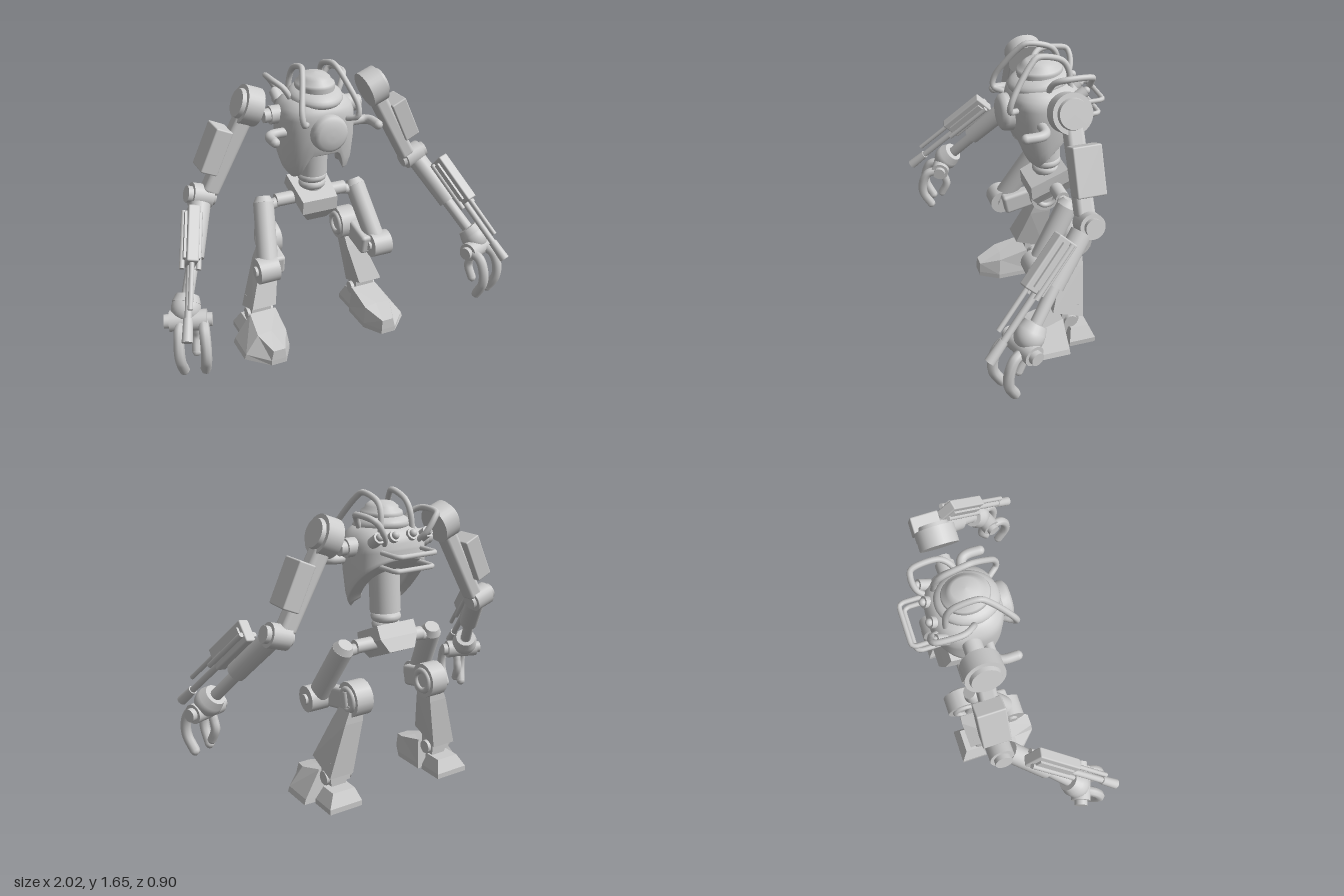
import * as THREE from 'three';
import { RoundedBoxGeometry } from 'three/addons/geometries/RoundedBoxGeometry.js';

const V = (p) => new THREE.Vector3(...p);
const smooth = new THREE.MeshStandardMaterial({ color: 0xcccccc });
const faceted = new THREE.MeshStandardMaterial({ color: 0xcccccc, flatShading: true });

function add(parent, name, geo, pos = [0, 0, 0], rot = [0, 0, 0], mat = smooth) {
  const m = new THREE.Mesh(geo, mat);
  m.name = name;
  m.position.set(...pos);
  m.rotation.set(...rot);
  parent.add(m);
  return m;
}

// Cylinder running from p to q
function rod(parent, name, p, q, r0, r1 = r0, sides = 24) {
  const a = V(p), b = V(q), d = b.clone().sub(a);
  const m = add(parent, name, new THREE.CylinderGeometry(r1, r0, d.length(), sides));
  m.position.copy(a).add(b).multiplyScalar(0.5);
  m.quaternion.setFromUnitVectors(new THREE.Vector3(0, 1, 0), d.normalize());
}

function pipe(parent, name, pts, r, sides = 10, tension = 0.5) {
  const curve = new THREE.CatmullRomCurve3(pts.map(V), false, 'catmullrom', tension);
  add(parent, name, new THREE.TubeGeometry(curve, 40, r, sides));
  const ends = [pts[0], pts[pts.length - 1]];
  for (const e of ends) add(parent, name + 'End', new THREE.SphereGeometry(r, sides, 6), e);
}

// Skin over matching loops (counterclockwise from above, listed upwards), capped at both ends
function loft(loops) {
  const n = loops[0].length, pos = loops.flat(2), idx = [];
  for (let k = 0; k < loops.length - 1; k++) {
    for (let i = 0; i < n; i++) {
      const a = k * n + i, b = k * n + (i + 1) % n;
      idx.push(a, b, b + n, a, b + n, a + n);
    }
  }
  [loops[0], loops[loops.length - 1]].forEach((loop, end) => {
    const c = pos.length / 3, base = end ? (loops.length - 1) * n : 0;
    const mid = [0, 1, 2].map((j) => loop.reduce((s, p) => s + p[j], 0) / n);
    pos.push(...mid);
    for (let i = 0; i < n; i++) {
      const a = base + i, b = base + (i + 1) % n;
      if (end) idx.push(c, a, b); else idx.push(c, b, a);
    }
  });
  const g = new THREE.BufferGeometry();
  g.setAttribute('position', new THREE.Float32BufferAttribute(pos, 3));
  g.setIndex(idx);
  g.computeVertexNormals();
  return g;
}

// Rectangle loop for loft: x range, z range, heights at front and back
const rect = (x0, x1, z0, z1, yf, yb = yf) => [[x0, yb, z0], [x0, yf, z1], [x1, yf, z1], [x1, yb, z0]];

// Torso shell: rounded sections, underside slanting up to the back, front arch leading into a hollow
function torsoGeometry() {
  // y, half width, front z, back z
  const prof = [[1.03, 0.19, -0.03, -0.32], [1.1, 0.208, 0, -0.33], [1.25, 0.212, 0.035, -0.335],
    [1.38, 0.21, 0.045, -0.335], [1.43, 0.192, 0.035, -0.325], [1.465, 0.155, 0, -0.29], [1.49, 0.1, -0.03, -0.24]];
  const at = (a, y, s = 1) => {
    let k = 0;
    while (k < prof.length - 2 && y > prof[k + 1][0]) k++;
    const t = THREE.MathUtils.clamp((y - prof[k][0]) / (prof[k + 1][0] - prof[k][0]), 0, 1);
    const [, w, zf, zb] = prof[k].map((v, j) => v + (prof[k + 1][j] - v) * t);
    const c = Math.cos(a), d = -Math.sin(a), pw = (v) => Math.sign(v) * Math.abs(v) ** 0.8;
    return [w * pw(c) * s, y, (zf + zb) / 2 + (zf - zb) / 2 * pw(d) * s];
  };
  const edge = (a, s = 1) => {
    const [x, , z] = at(a, 1.1, s);
    const slope = z < -0.06 ? (-0.06 - z) * 1.05 : (z + 0.06) * 0.4;
    const arch = z > -0.1 ? 1 - THREE.MathUtils.smoothstep(Math.abs(x), 0.07, 0.15) : 0;
    return Math.max(1.04 + slope, 1.04 + 0.135 * arch);
  };
  const N = 72, angles = Array.from({ length: N }, (_, i) => i / N * Math.PI * 2);
  const loops = [
    angles.map((a) => at(a, 1.36, 0.55)),
    angles.map((a) => at(a, edge(a, 0.6) + 0.02, 0.6)),
    angles.map((a) => at(a, edge(a, 0.63), 0.63)),
    angles.map((a) => at(a, edge(a, 0.97), 0.97)),
  ];
  for (const t of [0.03, 0.2, 0.4, 0.6, 0.8, 1]) loops.push(angles.map((a) => at(a, edge(a) + (1.38 - edge(a)) * t)));
  for (const y of [1.405, 1.43, 1.45, 1.465, 1.49]) loops.push(angles.map((a) => at(a, y)));
  return loft(loops);
}

function buildBody(g) {
  add(g, 'torso', torsoGeometry());
  const collar = add(g, 'neckCollar', new THREE.SphereGeometry(1, 32, 16), [0, 1.472, -0.125], [0.12, 0, 0]);
  collar.scale.set(0.145, 0.062, 0.165);
  const dome = [[0.1, 0], [0.107, 0.05], [0.102, 0.065], [0.085, 0.075], [0.082, 0.09], [0.06, 0.108], [0, 0.115]];
  const head = add(g, 'head', new THREE.LatheGeometry(dome.map((p) => new THREE.Vector2(...p)), 32), [0, 1.48, -0.13]);
  head.scale.z = 1.15;
  const lens = [[0.1, -0.03], [0.1, 0.03], [0.094, 0.052], [0.075, 0.066], [0.035, 0.072], [0, 0.073]];
  add(g, 'chestLens', new THREE.LatheGeometry(lens.map((p) => new THREE.Vector2(...p)), 32), [0, 1.312, 0.028], [Math.PI / 2, 0, 0]);
  // Back handles and knobs
  for (const [y, z] of [[1.365, -0.447], [1.29, -0.428]]) {
    pipe(g, 'backHandle', [[-0.12, y, -0.28], [-0.12, y, z + 0.03], [-0.11, y, z + 0.005], [-0.09, y, z],
      [0.09, y, z], [0.11, y, z + 0.005], [0.12, y, z + 0.03], [0.12, y, -0.28]], 0.013, 10, 0.2);
  }
  for (const x of [-0.15, -0.055, 0.055, 0.15]) {
    rod(g, 'backKnob', [x, 1.41, -0.27], [x, 1.448, -0.33], 0.03);
    add(g, 'knobTip', new THREE.SphereGeometry(0.02, 16, 10), [x, 1.45, -0.333]);
  }
  // Spine and pelvis
  rod(g, 'spine', [0, 1.01, -0.17], [0, 1.3, -0.15], 0.083);
  for (const [y, r] of [[0.985, 0.055], [0.94, 0.05]]) {
    add(g, 'spineRing', new THREE.TorusGeometry(r, 0.027, 12, 28), [0, y, -0.175], [Math.PI / 2, 0, 0]);
  }
  rod(g, 'spineCore', [0, 0.88, -0.18], [0, 1.02, -0.17], 0.06);
  add(g, 'pelvis', loft([
    [[-0.08, -0.075, -0.13], [-0.06, -0.075, 0.11], [0.06, -0.075, 0.11], [0.08, -0.075, -0.13]],
    [[-0.118, 0, -0.13], [-0.105, 0, 0.125], [0.105, 0, 0.125], [0.118, 0, -0.13]],
    [[-0.118, 0.075, -0.125], [-0.105, 0.075, 0.1], [0.105, 0.075, 0.1], [0.118, 0.075, -0.125]],
  ]), [0, 0.85, -0.18], [0.42, 0, 0], faceted);
}

function buildArm(g) {
  // Socket on the torso and free-standing shoulder drum, its axis tilted outward and up
  const sh = [0.372, 1.455, -0.165], ax = [0.93, 0.37, 0];
  const on = (t) => sh.map((v, i) => v + ax[i] * t);
  rod(g, 'shoulderSocket', [0.15, 1.38, -0.165], [0.25, 1.38, -0.165], 0.05);
  rod(g, 'shoulderSocketCap', [0.245, 1.38, -0.165], [0.285, 1.38, -0.165], 0.038);
  rod(g, 'shoulderDrum', on(-0.055), on(0.04), 0.103, 0.103, 32);
  rod(g, 'shoulderCap', on(0.04), on(0.062), 0.08, 0.075, 32);
  // Upper arm with its outer armour block
  add(g, 'upperArm', new RoundedBoxGeometry(0.09, 0.46, 0.095, 3, 0.025), [0.5, 1.2, -0.17], [0, 0, 0.5]);
  add(g, 'armBlock', new RoundedBoxGeometry(0.095, 0.25, 0.15, 2, 0.008), [0.565, 1.24, -0.185], [0, 0, 0.43]);
  rod(g, 'elbow', [0.6, 0.97, -0.175], [0.705, 1.005, -0.175], 0.065);
  rod(g, 'elbowCap', [0.58, 0.965, -0.175], [0.73, 1.013, -0.175], 0.045);
  // Forearm
  rod(g, 'forearmSleeve', [0.67, 0.96, -0.13], [0.78, 0.755, 0.05], 0.055);
  rod(g, 'forearmRod', [0.75, 0.8, 0], [0.87, 0.58, 0.18], 0.032);
  // Arm gun in its own frame, y along the barrel, z towards the underside
  const gun = new THREE.Group();
  gun.name = 'armGun';
  const d = V([0.21, -0.48, 0.48]).normalize();
  const x = V([1, 0, 0]).addScaledVector(d, -d.x).normalize();
  gun.quaternion.setFromRotationMatrix(new THREE.Matrix4().makeBasis(x, d, x.clone().cross(d)));
  gun.position.set(0.785, 0.895, 0.075);
  g.add(gun);
  add(gun, 'gunBody', new RoundedBoxGeometry(0.06, 0.3, 0.125, 2, 0.008));
  add(gun, 'gunRail', new THREE.BoxGeometry(0.085, 0.25, 0.06));
  rod(gun, 'gunBarrel', [0, 0.1, 0.03], [0, 0.46, 0.03], 0.018, 0.018, 16);
  rod(gun, 'gunMuzzle', [0, 0.42, 0.03], [0, 0.54, 0.03], 0.024, 0.028, 16);
  rod(gun, 'gunSight', [0, 0.1, -0.03], [0, 0.39, -0.03], 0.013, 0.013, 12);
  for (const s of [-0.042, 0.042]) rod(gun, 'gunSideTube', [s, -0.14, 0.02], [s, 0.17, 0.02], 0.014, 0.014, 12);
  // Wrist
  add(g, 'wristBall', new THREE.SphereGeometry(0.077, 28, 18), [0.88, 0.56, 0.2]);
  rod(g, 'wristCuff', [0.855, 0.61, 0.16], [0.872, 0.58, 0.185], 0.06, 0.075);
  // Claw, turned outward about the wrist
  const claw = new THREE.Group();
  claw.name = 'claw';
  claw.position.set(0.882, 0.51, 0.235);
  claw.rotation.y = 0.35;
  g.add(claw);
  rod(claw, 'clawAxle', [-0.122, 0, 0], [0.122, 0, 0], 0.036);
  rod(claw, 'clawHub', [-0.095, 0, 0], [0.095, 0, 0], 0.054);
  for (const [fx, s] of [[0.035, 1], [-0.075, -1]]) {
    pipe(claw, 'finger', [[fx, 0, 0.015], [fx + 0.008 * s, -0.02, 0.08], [fx + 0.012 * s, -0.09, 0.115],
      [fx + 0.01 * s, -0.17, 0.115], [fx, -0.255, 0.072]], 0.028, 8);
  }
  pipe(claw, 'thumb', [[-0.03, -0.01, 0], [-0.03, -0.07, -0.02], [-0.03, -0.125, -0.03], [-0.03, -0.195, 0.002]], 0.025, 8);
}

function buildLeg(g) {
  rod(g, 'hipBar', [0, 0.855, -0.2], [0.215, 0.855, -0.2], 0.038);
  rod(g, 'hipAxle', [0.2, 0.845, -0.2], [0.29, 0.83, -0.19], 0.03);
  rod(g, 'thigh', [0.287, 0.855, -0.2], [0.345, 0.53, -0.01], 0.058);
  rod(g, 'thighCap', [0.282, 0.885, -0.218], [0.287, 0.855, -0.2], 0.04, 0.058);
  // Front knee drum, linked back to the rear knee drum
  rod(g, 'kneeDrum', [0.295, 0.54, -0.012], [0.41, 0.54, -0.012], 0.073, 0.073, 28);
  rod(g, 'kneeCap', [0.28, 0.54, -0.012], [0.425, 0.54, -0.012], 0.03);
  add(g, 'kneeLink', new RoundedBoxGeometry(0.07, 0.12, 0.25, 2, 0.02), [0.275, 0.565, -0.13], [0.2, 0, 0]);
  rod(g, 'rearKneeDrum', [0.195, 0.595, -0.255], [0.295, 0.595, -0.255], 0.096, 0.096, 16);
  for (const s of [0.195, 0.295]) {
    add(g, 'rearKneeRing', new THREE.TorusGeometry(0.057, 0.016, 10, 28), [s, 0.595, -0.255], [0, Math.PI / 2, 0]);
  }
  // Shin, ankle and two-part foot
  add(g, 'shin', loft([
    rect(0.275, 0.42, -0.27, -0.09, 0.24, 0.17),
    rect(0.225, 0.335, -0.29, -0.165, 0.47),
    rect(0.215, 0.3, -0.29, -0.2, 0.56),
  ]), undefined, undefined, faceted);
  add(g, 'ankleBlock', new THREE.BoxGeometry(0.12, 0.12, 0.1), [0.342, 0.19, -0.2]);
  rod(g, 'anklePin', [0.262, 0.15, -0.2], [0.42, 0.15, -0.2], 0.038);
  add(g, 'foot', loft([
    [[0.245, 0, -0.165], [0.245, 0, 0.03], [0.31, 0, 0.14], [0.4, 0, 0.14], [0.52, 0, 0.02], [0.52, 0, -0.165]],
    [[0.245, 0.03, -0.163], [0.245, 0.03, 0.03], [0.31, 0.03, 0.14], [0.4, 0.03, 0.14], [0.51, 0.03, 0.02], [0.51, 0.03, -0.163]],
    [[0.255, 0.178, -0.15], [0.26, 0.132, 0.02], [0.315, 0.09, 0.137], [0.385, 0.09, 0.137], [0.43, 0.132, 0.01], [0.415, 0.178, -0.15]],
  ]), undefined, undefined, faceted);
  add(g, 'heel', loft([
    rect(0.26, 0.46, -0.335, -0.18, 0), rect(0.26, 0.46, -0.335, -0.183, 0.03), rect(0.285, 0.42, -0.3, -0.2, 0.1),
  ]), undefined, undefined, faceted);
  add(g, 'heelStrut', new THREE.BoxGeometry(0.09, 0.12, 0.06), [0.342, 0.1, -0.2]);
}

function buildHoses(g) {
  pipe(g, 'tallHose', [[0.12, 1.37, 0.03], [0.155, 1.39, 0.075], [0.16, 1.45, 0.065], [0.135, 1.53, 0.015], [0.105, 1.61, -0.05],
    [0.09, 1.638, -0.1], [0.085, 1.61, -0.21], [0.09, 1.55, -0.255], [0.1, 1.45, -0.265]], 0.016);
  pipe(g, 'lowHose', [[0.13, 1.45, -0.13], [0.17, 1.52, -0.15], [0.205, 1.55, -0.21], [0.2, 1.545, -0.33],
    [0.17, 1.515, -0.355], [0.13, 1.45, -0.345], [0.1, 1.4, -0.3]], 0.016);
  pipe(g, 'sidePipe', [[0.18, 1.305, -0.08], [0.25, 1.305, -0.08], [0.285, 1.305, -0.065],
    [0.3, 1.305, -0.03], [0.3, 1.305, 0.035]], 0.026, 16);
}

export function createModel() {
  const model = new THREE.Group();
  model.name = 'walkerRobot';
  buildBody(model);
  const left = new THREE.Group();
  left.name = 'leftSide';
  for (const [name, build] of [['arm', buildArm], ['leg', buildLeg], ['hoses', buildHoses]]) {
    const part = new THREE.Group();
    part.name = name;
    build(part);
    left.add(part);
  }
  const right = left.clone();
  right.name = 'rightSide';
  right.scale.x = -1;
  model.add(left, right);
  return model;
}
